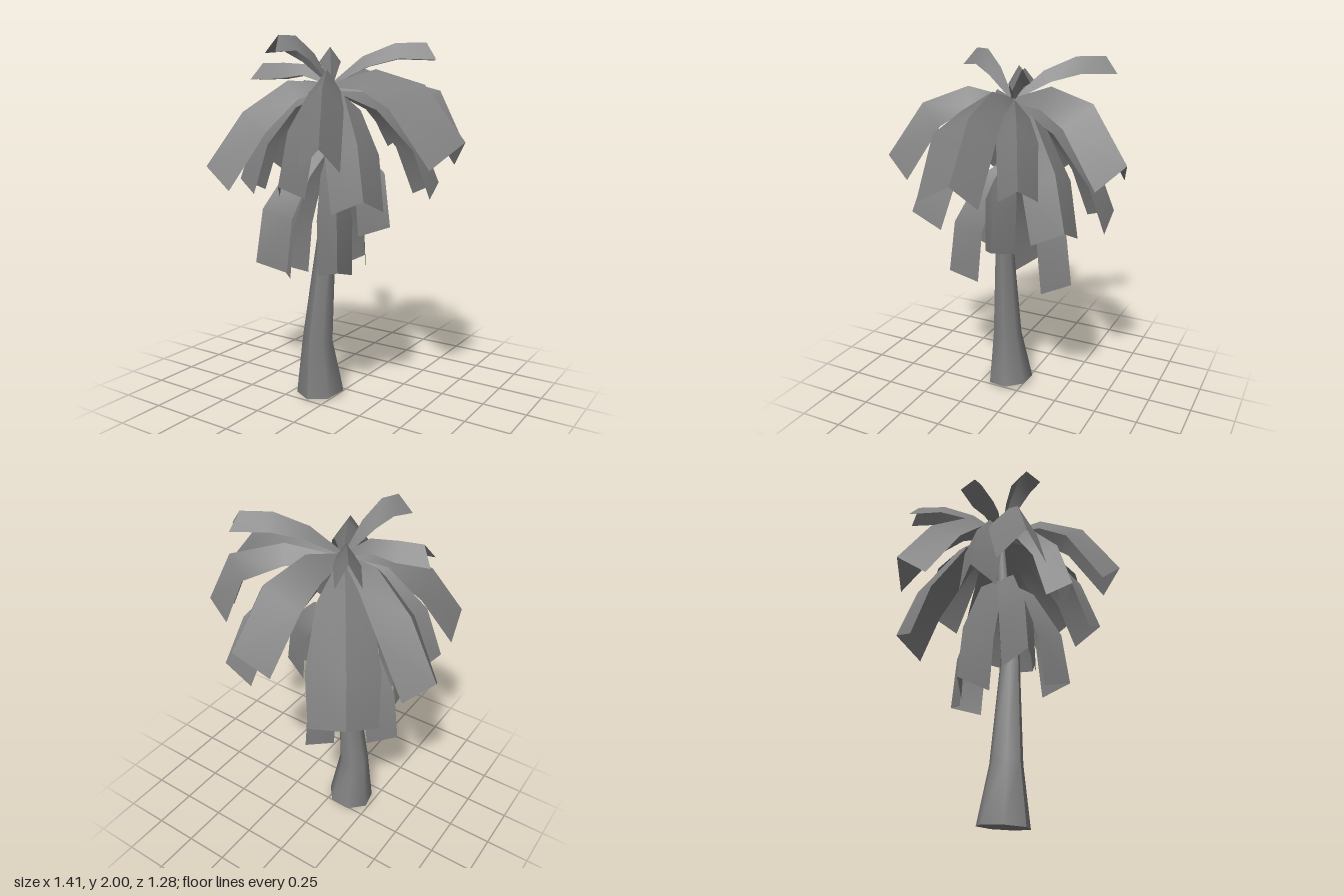
import * as THREE from 'three';

const material = new THREE.MeshStandardMaterial({ color: 0x808080, side: THREE.DoubleSide });
const CROWN = { x: -0.06, z: 0.05 };

// Trunk: seven-sided rings [y, centre x, centre z, radius]
function makeTrunk() {
  const rings = [
    [0.018, -0.107, 0.098, 0.138], [0.33, -0.11, 0.12, 0.088], [0.95, -0.053, 0.107, 0.052],
    [1.4, -0.06, 0.06, 0.036], [1.7, -0.06, 0.05, 0.02],
  ];
  const geo = new THREE.CylinderGeometry(1, 1, 1, 7, rings.length - 1);
  const p = geo.attributes.position;
  for (let i = 0; i < p.count; i++) {
    const level = Math.round((p.getY(i) + 0.5) * (rings.length - 1));
    const [y, cx, cz, r] = rings[level];
    // the foot is cut at a slight slant
    const slant = level === 0 ? 0.006 * p.getX(i) - 0.015 * p.getZ(i) : 0;
    p.setXYZ(i, cx + p.getX(i) * r, y + slant, cz + p.getZ(i) * r);
  }
  geo.computeVertexNormals();
  const mesh = new THREE.Mesh(geo, material);
  mesh.name = 'trunk';
  return mesh;
}

// Frond: a bent blade folded along its ridge; each half is a smooth strip.
// The half widths at the tip are given clockwise and anticlockwise, seen from above.
function makeFrond(tier, [tx, ty, tz, clockwise, anticlockwise]) {
  const dx = tx - CROWN.x, dz = tz - CROWN.z;
  const reach = Math.hypot(dx, dz), ux = dx / reach, uz = dz / reach;
  const shoulder = ty + tier.shoulder;
  const heights = [tier.start, tier.hump + 0.4 * shoulder, shoulder, ty];
  const path = heights.map((y, i) => new THREE.Vector2(tier.r[i] * reach, y));
  const spread = [0.14, 0.75, 1.05, 1], fold = [0.15, 0.7, 0.95, 1];
  const pos = [], index = [];
  for (const side of [-1, 1]) {
    const base = pos.length / 3;
    path.forEach((pt, i) => {
      const t = path[Math.min(i + 1, 3)].clone().sub(path[Math.max(i - 1, 0)]).normalize();
      const drop = tier.drop * fold[i];
      // the corners of the tip run on a little past the ridge
      const overhang = i === 3 ? tier.overhang : 0;
      const er = Math.max(0, pt.x + t.y * drop + t.x * overhang);
      const ey = pt.y - t.x * drop + t.y * overhang;
      const w = spread[i] * (side > 0 ? clockwise : -anticlockwise);
      pos.push(CROWN.x + ux * pt.x, pt.y, CROWN.z + uz * pt.x);
      pos.push(CROWN.x + ux * er - uz * w, ey, CROWN.z + uz * er + ux * w);
    });
    for (let i = 0; i < 3; i++) {
      const a = base + i * 2;
      if (side > 0) index.push(a, a + 1, a + 2, a + 1, a + 3, a + 2);
      else index.push(a, a + 2, a + 1, a + 1, a + 2, a + 3);
    }
  }
  const geo = new THREE.BufferGeometry();
  geo.setAttribute('position', new THREE.Float32BufferAttribute(pos, 3));
  geo.setIndex(index);
  geo.computeVertexNormals();
  return new THREE.Mesh(geo, material);
}

// Tiers: start height, reach fractions, arch, fold depth,
// then fronds as ridge tip x, y, z and the two half widths
const TIERS = [
  {
    name: 'topFrond', start: 1.76, r: [0, 0.33, 0.68, 1], hump: 1.112, shoulder: 0, drop: 0.09, overhang: 0.05,
    fronds: [
      [0.375, 1.97, -0.21, 0.05, 0.05], [-0.35, 1.97, -0.36, 0.06, 0.06],
      [-0.44, 1.87, 0.16, 0.06, 0.06], [-0.19, 2.0, 0.335, 0.06, 0.06],
    ],
  },
  {
    name: 'upperFrond', start: 1.76, r: [0, 0.35, 0.71, 1], hump: 1.13, shoulder: 0.28, drop: 0.15, overhang: 0.04,
    fronds: [
      [0.1, 1.5, -0.645, 0.13, 0.15], [0.705, 1.47, 0, 0.23, 0.1], [0.27, 1.46, 0.64, 0.11, 0.09],
      [-0.51, 1.33, 0.555, 0.13, 0.12], [-0.71, 1.34, -0.13, 0.12, 0.13],
    ],
  },
  {
    name: 'middleFrond', start: 1.74, r: [0, 0.42, 0.82, 1], hump: 1.11, shoulder: 0.27, drop: 0.13, overhang: 0.03,
    fronds: [
      [-0.4, 1.1, -0.43, 0.19, 0.17], [0.36, 1.2, -0.43, 0.13, 0.13], [-0.06, 1.25, 0.525, 0.08, 0.08],
      [0.38, 1.2, 0.43, 0.13, 0.14], [-0.555, 1.23, 0.24, 0.1, 0.1], [0.57, 1.45, -0.28, 0.09, 0.1],
    ],
  },
  {
    name: 'lowerFrond', start: 1.45, r: [0, 0.5, 0.9, 1], hump: 0.91, shoulder: 0.29, drop: 0.15, overhang: 0.03,
    fronds: [
      [-0.43, 0.71, 0.06, 0.09, 0.09], [-0.06, 0.74, -0.31, 0.09, 0.09], [0.17, 0.8, 0.34, 0.09, 0.09],
      [-0.31, 0.81, 0.41, 0.09, 0.09], [0.29, 1.0, 0.01, 0.09, 0.08],
    ],
  },
];

export function createModel() {
  const tree = new THREE.Group();
  tree.name = 'palmTree';
  tree.add(makeTrunk());
  for (const tier of TIERS) {
    tier.fronds.forEach((spec, i) => {
      const frond = makeFrond(tier, spec);
      frond.name = tier.name + (i + 1);
      tree.add(frond);
    });
  }
  return tree;
}
